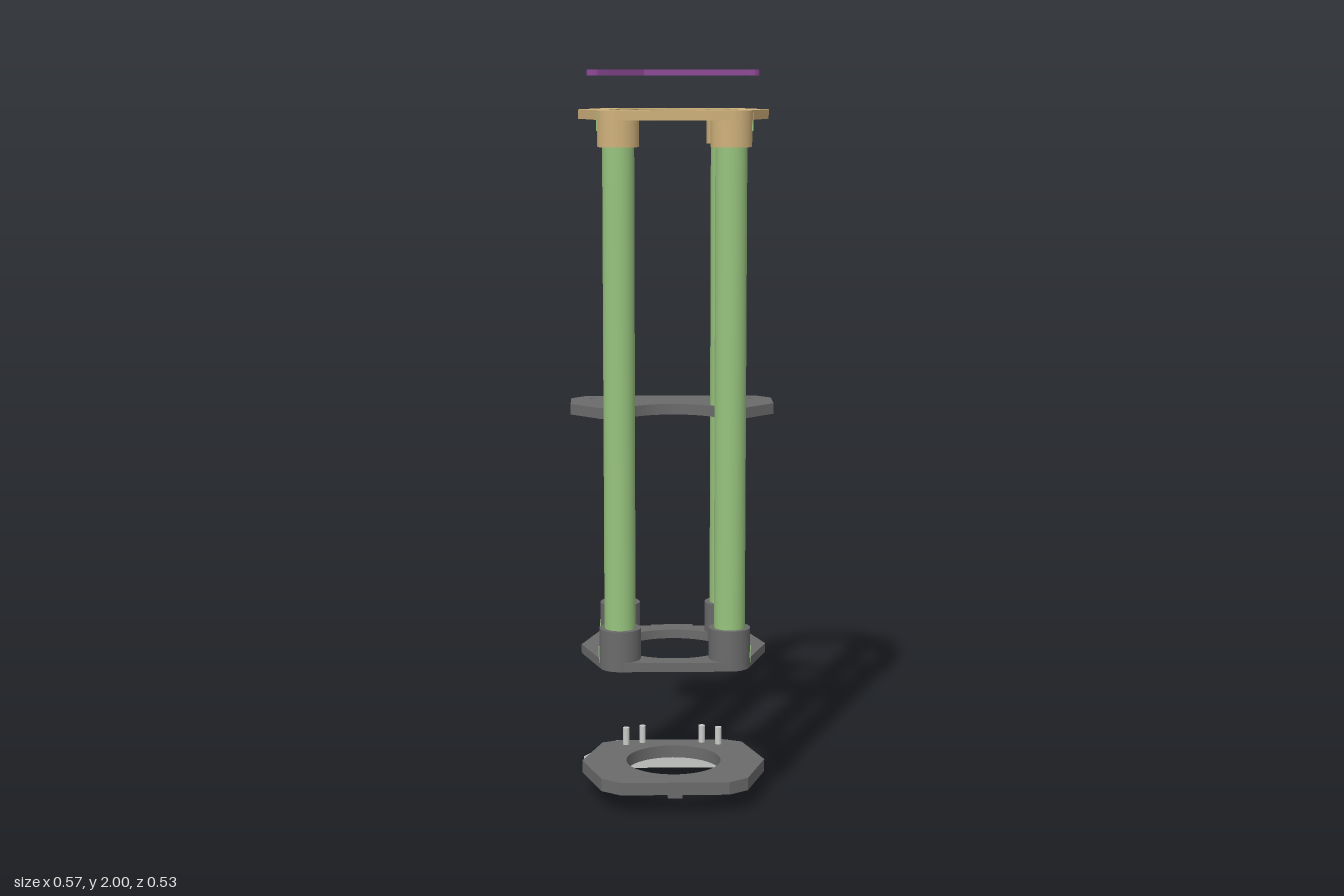
import * as THREE from 'three';
import { toCreasedNormals } from 'three/addons/utils/BufferGeometryUtils.js';

const paint = (name, color) => {
  const m = new THREE.MeshStandardMaterial({ color });
  m.name = name;
  return m;
};
const tan = paint('tan', 0xd0b27c);
const grey = paint('darkGrey', 0x6b6b6b);
const green = paint('green', 0x98c47e);
const purple = paint('purple', 0x8f4a98);
const silver = paint('lightGrey', 0xc9cbc9);

const CZ = 0.057;                 // centre of the ring frames in z
const TX = 0.148, TZ = 0.149;     // tube offsets from that centre
const V = (x, z) => new THREE.Vector2(x, z);

function add(parent, name, geometry, material, x = 0, y = 0, z = 0) {
  const mesh = new THREE.Mesh(geometry, material);
  mesh.name = name;
  mesh.position.set(x, y, z);
  parent.add(mesh);
  return mesh;
}
const box = (p, name, m, w, h, d, x, y, z) => add(p, name, new THREE.BoxGeometry(w, h, d), m, x, y, z);
const rod = (p, name, m, r, y0, y1, x, z) =>
  add(p, name, new THREE.CylinderGeometry(r, r, y1 - y0, 32), m, x, (y0 + y1) / 2, z);

// Points on an arc, angles in degrees
function arc(cx, cz, r, from, to, steps) {
  return Array.from({ length: steps + 1 }, (_, i) => {
    const a = THREE.MathUtils.degToRad(from + ((to - from) * i) / steps);
    return V(cx + r * Math.cos(a), cz + r * Math.sin(a));
  });
}
const circle = (x, z, r) => new THREE.Path().absarc(x, z, r, 0, Math.PI * 2, true);

// Horizontal slab from an outline in x/z, spanning y0 to y1
function slab(p, name, m, points, holes, y0, y1) {
  const shape = new THREE.Shape(points);
  shape.holes.push(...holes);
  const g = new THREE.ExtrudeGeometry(shape, { depth: y1 - y0, bevelEnabled: false, curveSegments: 32 });
  g.rotateX(Math.PI / 2);
  return add(p, name, toCreasedNormals(g, 0.5), m, 0, y1, 0);
}

// Six-sided frame outline with rounded or chamfered corners
function frameOutline(steps, backZ) {
  const front = arc(TX, CZ + TZ, 0.055, 18, 90, steps);
  const frontLeft = front.map(q => V(-q.x, q.y)).reverse();
  const flip = q => V(q.x, Math.max(backZ, 2 * CZ - q.y));
  return [V(0.255, CZ), ...front, ...frontLeft, V(-0.255, CZ),
    ...front.map(q => flip(V(-q.x, q.y))), ...frontLeft.map(q => flip(V(-q.x, q.y)))];
}

// Ring frame with a hollow, ribbed underside
function ringFrame(p, m, outline, r, y0, y1, holes = []) {
  const skin = y1 - 0.013;
  slab(p, 'topSkin', m, outline, [circle(0, CZ, r), ...holes], skin, y1);
  const inner = outline.map(q => V(q.x * 0.955, CZ + (q.y - CZ) * 0.955));
  slab(p, 'outerRim', m, outline, [new THREE.Path(inner)], y0, skin);
  slab(p, 'innerRim', m, arc(0, CZ, r + 0.012, 0, 360, 64).slice(0, -1), [circle(0, CZ, r)], y0, skin);
  for (let i = 0; i < 16; i++) {
    const a = ((i + 0.5) / 16) * Math.PI * 2, mid = (r + 0.2) / 2;
    const cosA = Math.cos(a), sinA = Math.sin(a);
    if (CZ + 0.2 * sinA < -0.125 && r < 0.14) continue;
    box(p, 'rib', m, 0.2 - r - 0.006, skin - y0 - 0.002, 0.006,
      cosA * mid, (y0 + skin) / 2, CZ + sinA * mid).rotation.y = -a;
  }
}

// Perforated three-part bar
function bar(p) {
  const outline = [V(-0.0933, -0.147), V(0.0933, -0.147), ...arc(0.213, 0.003, 0.02, -45, 135, 16),
    V(0.0767, -0.107), V(-0.0767, -0.107), ...arc(-0.213, 0.003, 0.02, 45, 225, 16)];
  const runs = [
    [V(-0.065, -0.127), V(0.065, -0.127), 4],
    [V(0.092, -0.12), V(0.213, 0.003), 5],
    [V(-0.092, -0.12), V(-0.213, 0.003), 5],
  ];
  const holes = [], pockets = [];
  for (const [a, b, n] of runs) {
    const dir = b.clone().sub(a).normalize(), side = V(-dir.y, dir.x);
    for (let i = 0; i < n; i++) {
      const c = a.clone().lerp(b, i / (n - 1));
      holes.push(circle(c.x, c.y, 0.0085));
      if (i === n - 1) continue;
      const mid = a.clone().lerp(b, (i + 0.5) / (n - 1));
      for (const s of [-1, 1]) {
        const corners = [[-0.012, 0.015], [0.012, 0.015], [0.007, 0.004], [-0.007, 0.004]];
        pockets.push(new THREE.Path(corners.map(([u, v]) =>
          mid.clone().addScaledVector(dir, u).addScaledVector(side, s * v))));
      }
    }
  }
  slab(p, 'barLowerFace', purple, outline, [...holes, ...pockets], 1.984, 1.990);
  slab(p, 'barWeb', purple, outline, holes, 1.990, 1.994);
  slab(p, 'barUpperFace', purple, outline, [...holes, ...pockets], 1.994, 2.0);
}

export function createModel() {
  const model = new THREE.Group();
  model.name = 'tubeTower';
  const group = name => {
    const g = new THREE.Group();
    g.name = name;
    model.add(g);
    return g;
  };
  const upper = group('upperFrame'), lower = group('lowerFrame'), base = group('basePlate');
  const tubes = group('tubes'), shelf = group('middleBracket'), foot = group('footBracket');
  bar(group('topBar'));

  // Upper and lower frames
  const rounded = frameOutline(10, -1);
  ringFrame(upper, tan, rounded, 0.172, 1.87, 1.895,
    [circle(0.213, 0.003, 0.009), circle(-0.213, 0.003, 0.009)]);
  ringFrame(lower, grey, rounded, 0.157, 0.4, 0.425);
  box(lower, 'backTab', grey, 0.12, 0.024, 0.02, 0, 0.4125, -0.154);
  box(lower, 'frontTab', grey, 0.06, 0.006, 0.02, 0, 0.42, 0.212);

  // Tubes with their sockets and side slots
  for (const sx of [-1, 1]) {
    for (const sz of [-1, 1]) {
      const x = sx * TX, z = CZ + sz * TZ;
      rod(tubes, 'tube', green, 0.042, 0.405, 1.885, x, z);
      rod(upper, 'upperSocket', tan, 0.0545, 1.8, 1.894, x, z);
      rod(lower, 'lowerSocket', grey, 0.056, 0.401, 0.51, x, z);
      box(upper, 'upperSlot', green, 0.005, 0.05, 0.014, sx * 0.2025, 1.866, z);
      box(lower, 'lowerSlot', green, 0.005, 0.045, 0.014, sx * 0.2035, 0.435, z);
    }
    // Locating pins
    rod(lower, 'framePin', silver, 0.009, 0.365, 0.41, sx * 0.132, -0.085);
    rod(base, 'outerPin', silver, 0.009, 0.08, 0.14, sx * 0.132, -0.09);
    rod(base, 'innerPin', silver, 0.009, 0.08, 0.14, sx * 0.085, -0.108);
  }

  // Base plate
  ringFrame(base, grey, frameOutline(1, -0.132), 0.132, 0.055, 0.09);
  box(base, 'frontCatch', grey, 0.04, 0.014, 0.03, 0, 0.052, 0.245);

  // Middle bracket: thin shelf, thick front block and back lip
  const bay = arc(0, CZ, 0.16, -31.2, -148.8, 32);
  const nose = [V(0.285, -0.11), V(0.2, -0.026), ...bay, V(-0.2, -0.026), V(-0.285, -0.11)];
  slab(shelf, 'shelf', grey,
    [V(-0.285, -0.22), V(-0.24, -0.265), V(0.24, -0.265), V(0.285, -0.22), ...nose],
    [circle(0.225, -0.21, 0.008), circle(-0.225, -0.21, 0.008)], 1.064, 1.075);
  slab(shelf, 'frontBlock', grey, [V(-0.285, -0.143), V(0.285, -0.143), ...nose], [], 1.045, 1.064);
  box(shelf, 'backLip', grey, 0.48, 0.013, 0.008, 0, 1.0585, -0.261);

  // Folded foot bracket
  slab(foot, 'footFlange', silver,
    [V(-0.255, -0.15), V(-0.255, -0.235), V(-0.24, -0.25), V(0.24, -0.25), V(0.255, -0.235), V(0.255, -0.15)],
    [circle(0, -0.2, 0.008)], 0, 0.006);
  const wall = new THREE.Shape([V(-0.255, 0.003), V(0.255, 0.003), V(0.255, 0.035), V(0.225, 0.05),
    V(0.16, 0.083), V(-0.16, 0.083), V(-0.225, 0.05), V(-0.255, 0.035)]);
  add(foot, 'footWall', new THREE.ExtrudeGeometry(wall, { depth: 0.006, bevelEnabled: false }), silver, 0, 0, -0.153);
  box(foot, 'footTab', silver, 0.3, 0.006, 0.03, 0, 0.08, -0.138);

  return model;
}
